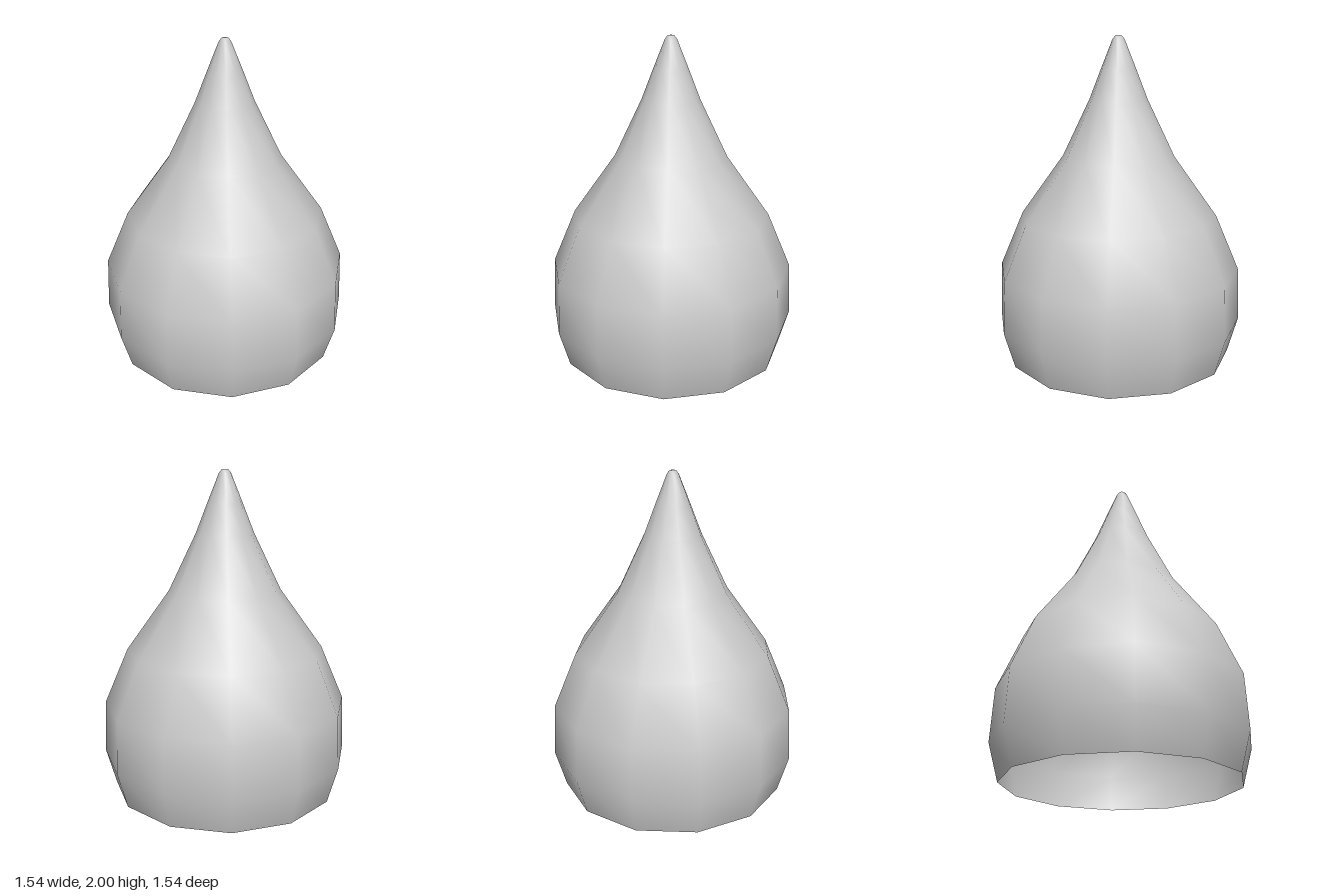
import * as THREE from 'three';

export function createModel() {
  const group = new THREE.Group();
  const material = new THREE.MeshStandardMaterial({ color: 0xcccccc, side: THREE.DoubleSide });

  // Outline from the open bottom rim up to the blunt tip: [radius, height]
  const profile = [
    [0.705, 0], [0.77, 0.23], [0.755, 0.56], [0.61, 0.9], [0.345, 1.27],
    [0.177, 1.62], [0.107, 1.8], [0.037, 1.975], [0.02, 1.998], [0, 2],
  ].map(([r, y]) => new THREE.Vector2(r, y));

  // Twelve-sided hollow teardrop shell, smooth shaded
  const shell = new THREE.Mesh(new THREE.LatheGeometry(profile, 12), material);
  shell.name = 'teardropShell';
  group.add(shell);

  return group;
}
